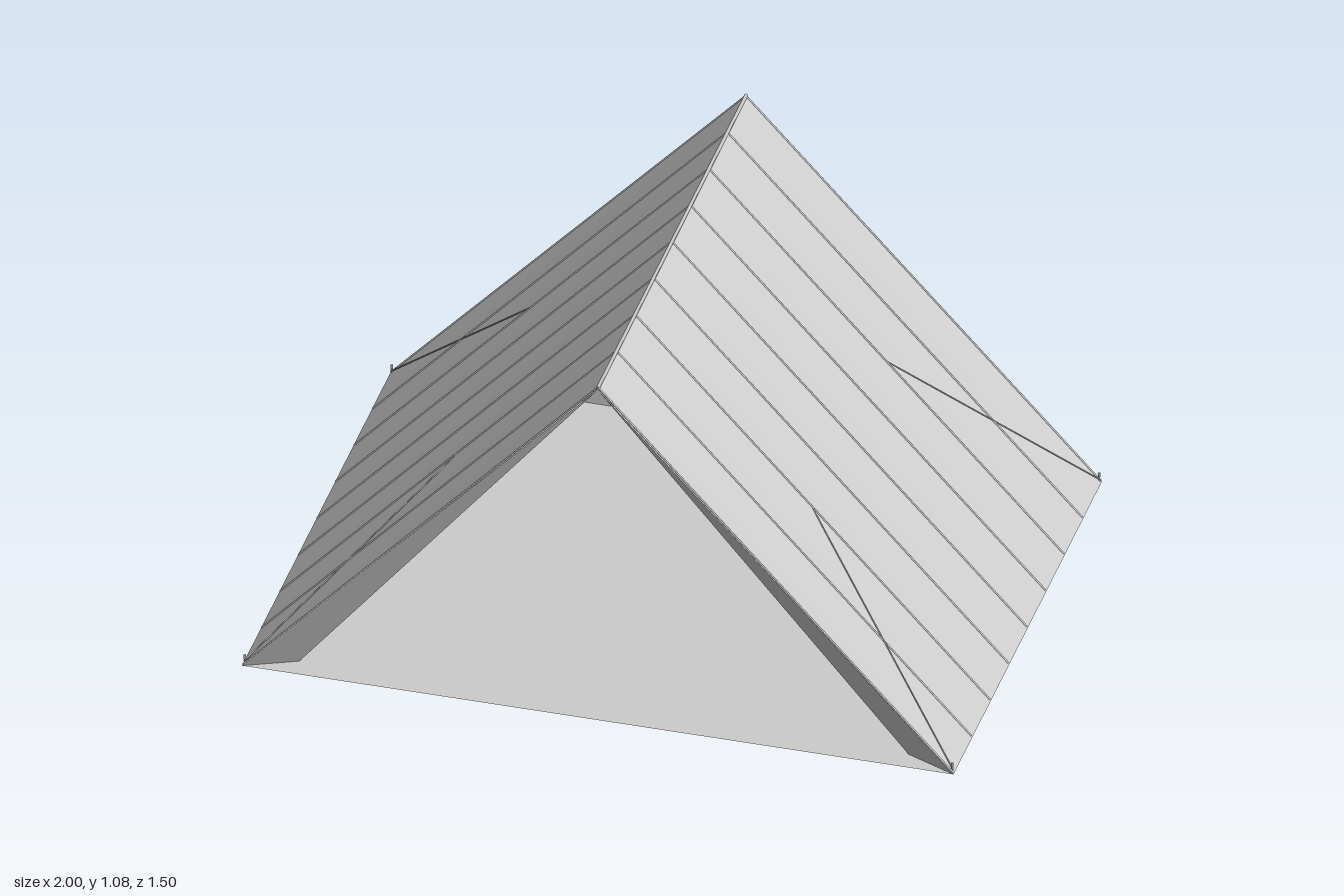
import * as THREE from 'three';

const HEIGHT = 1.075, HALF_LENGTH = 0.75, BAYS = 8;

export function createModel() {
  const tent = new THREE.Group();
  tent.name = 'ridgeTent';
  const canvas = new THREE.MeshStandardMaterial({ color: 0xcccccc, side: THREE.DoubleSide });
  canvas.name = 'greyCanvas';

  const add = (parent, name, geometry) => {
    const mesh = new THREE.Mesh(geometry, canvas);
    mesh.name = name;
    parent.add(mesh);
    return mesh;
  };

  // Flat cloth panel from three or four corners
  const panel = (parent, name, ...corners) => {
    const geometry = new THREE.BufferGeometry().setFromPoints(corners.map(c => new THREE.Vector3(...c)));
    geometry.setIndex(corners.length === 4 ? [0, 1, 2, 0, 2, 3] : [0, 1, 2]);
    geometry.computeVertexNormals();
    return add(parent, name, geometry);
  };

  // Thin round cord between two points
  const cord = (parent, name, from, to, radius) => {
    const line = new THREE.LineCurve3(new THREE.Vector3(...from), new THREE.Vector3(...to));
    return add(parent, name, new THREE.TubeGeometry(line, 1, radius, 6));
  };

  // One roof slope: cloth sags slightly between its seams
  const roofGeometry = () => {
    const geometry = new THREE.PlaneGeometry(1, 2 * HALF_LENGTH, 12, BAYS * 6);
    const p = geometry.attributes.position;
    for (let i = 0; i < p.count; i++) {
      const u = p.getX(i) + 0.5, z = -p.getY(i);
      const bay = Math.abs(Math.sin((BAYS * Math.PI * (z + HALF_LENGTH)) / (2 * HALF_LENGTH)));
      const sag = 0.004 * Math.sin(Math.PI * u) * bay;
      p.setXYZ(i, u - 0.73 * sag, HEIGHT * (1 - u) - 0.68 * sag, z);
    }
    geometry.computeVertexNormals();
    return geometry;
  };

  // The two slopes are the same side turned half round
  for (const [name, turn] of [['leftSide', 0], ['rightSide', Math.PI]]) {
    const side = new THREE.Group();
    side.name = name;
    side.rotation.y = turn;
    tent.add(side);
    add(side, 'roofSlope', roofGeometry());

    for (let i = 0; i <= BAYS; i++) {
      const z = (-1 + (2 * i) / BAYS) * (HALF_LENGTH - 0.004);
      cord(side, 'seam', [0, HEIGHT, z], [0.997, 0.004, z], 0.003);
    }

    // Guy lines from mid slope to the corner pegs
    for (const end of [-1, 1]) {
      cord(side, 'guyLine', [0.5, HEIGHT / 2, 0.375 * end], [0.997, 0.01, 0.742 * end], 0.002);
      const peg = add(side, 'peg', new THREE.CylinderGeometry(0.004, 0.002, 0.03, 6));
      peg.position.set(0.994, 0.016, 0.742 * end);
    }
  }

  cord(tent, 'ridge', [0, HEIGHT, -HALF_LENGTH], [0, HEIGHT, HALF_LENGTH], 0.005);

  panel(tent, 'floor', [-1, 0, HALF_LENGTH], [1, 0, HALF_LENGTH], [1, 0, -HALF_LENGTH], [-1, 0, -HALF_LENGTH]);
  panel(tent, 'backWall', [1, 0, -HALF_LENGTH], [-1, 0, -HALF_LENGTH], [0, HEIGHT, -HALF_LENGTH]);

  // Door flaps folded back inside the open front
  for (const s of [-1, 1]) {
    panel(tent, 'doorFlap', [s, 0, HALF_LENGTH], [0.856 * s, 0, 0.687], [0, HEIGHT - 0.006, HALF_LENGTH]);
  }
  return tent;
}
